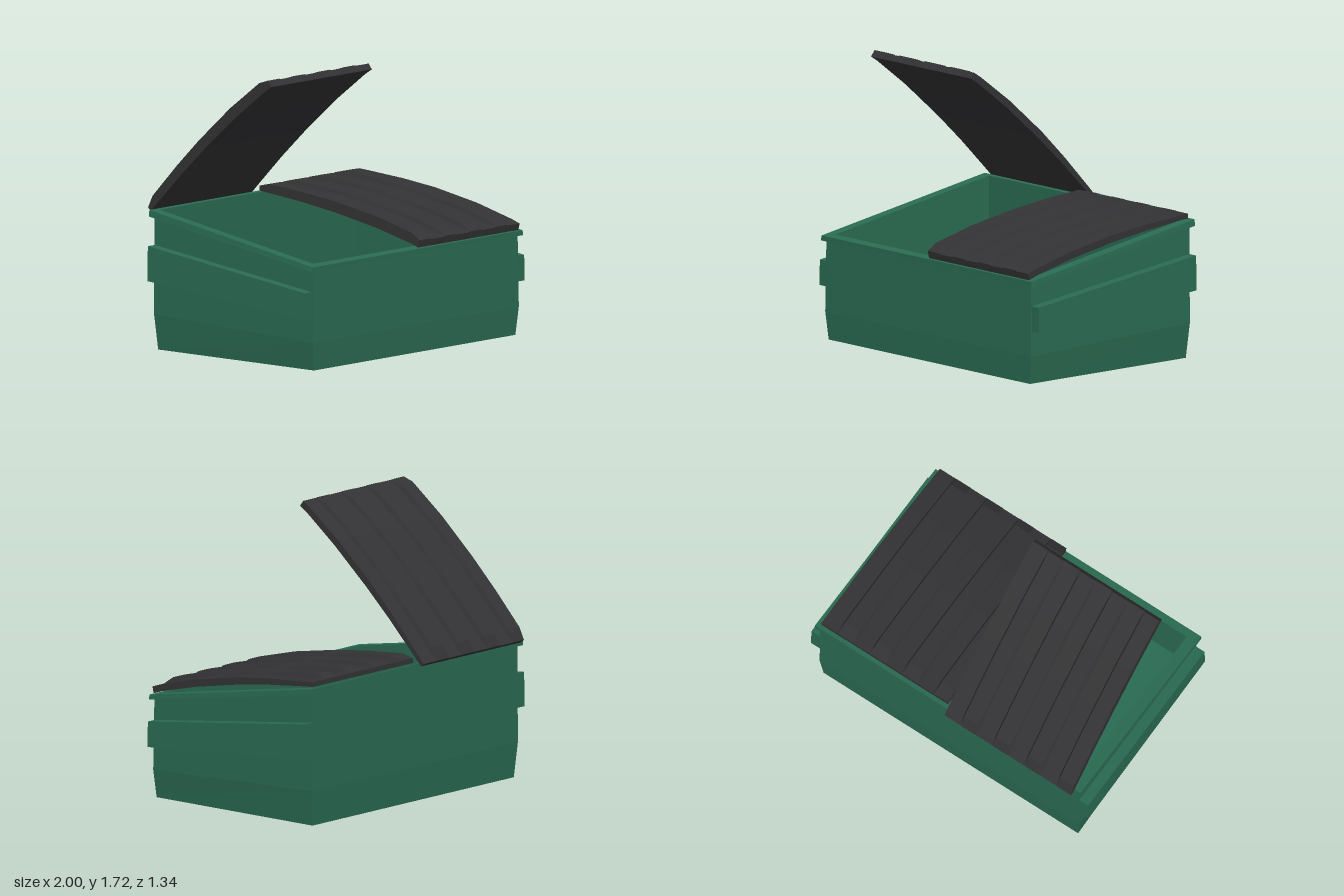
import * as THREE from 'three';

const green = new THREE.MeshStandardMaterial({ color: 0x2a6b52, flatShading: true });
const black = new THREE.MeshStandardMaterial({ color: 0x333335, flatShading: true });

// Joins equal-sized rings of points into a closed, flat-shaded solid.
function loft(rings) {
  const pos = [];
  const quad = (a, b, c, d) => [a, b, c, a, c, d].forEach((p) => pos.push(...p));
  const n = rings[0].length;
  for (let r = 0; r < rings.length - 1; r++) {
    const a = rings[r], b = rings[r + 1];
    for (let i = 0; i < n; i++) {
      const j = (i + 1) % n;
      quad(a[i], a[j], b[j], b[i]);
    }
  }
  const first = rings[0], last = rings[rings.length - 1];
  for (let i = 0; i < n / 2 - 1; i++) {
    quad(first[n - 1 - i], first[n - 2 - i], first[i + 1], first[i]);
    quad(last[i], last[i + 1], last[n - 2 - i], last[n - 1 - i]);
  }
  const geometry = new THREE.BufferGeometry();
  geometry.setAttribute('position', new THREE.Float32BufferAttribute(pos, 3));
  geometry.computeVertexNormals();
  return geometry;
}

// Rectangular ring whose height may differ between back and front.
const ring = (x0, x1, zBack, zFront, yBack, yFront) => [
  [x1, yFront, zFront], [x1, yBack, zBack], [x0, yBack, zBack], [x0, yFront, zFront],
];

function part(name, geometry, material) {
  const mesh = new THREE.Mesh(geometry, material);
  mesh.name = name;
  return mesh;
}

// Lid profiles as [z, y], front to back.
const underside = [[0.66, 0.635], [0.6, 0.655], [0.33, 0.72], [0, 0.78], [-0.25, 0.815], [-0.52, 0.843], [-0.6, 0.85]];
const valley = [[0.67, 0.675], [0.61, 0.695], [0.33, 0.766], [0, 0.825], [-0.25, 0.853], [-0.52, 0.873], [-0.6, 0.878]];
const ridge = [[0.67, 0.68], [0.61, 0.72], [0.33, 0.79], [0, 0.846], [-0.25, 0.876], [-0.52, 0.898], [-0.6, 0.88]];

// Ribbed, gently arched lid starting at x = 0.
function lidGeometry() {
  const section = (x, top) =>
    [...underside, ...[...top].reverse()].map(([z, y]) => [x, y, z]);
  const rings = [];
  const pitch = 0.23;
  for (let i = 0; i < 4; i++) {
    const x = i * pitch;
    rings.push(section(x, ridge), section(x + 0.1, ridge), section(x + 0.112, valley));
    rings.push(section(i < 3 ? x + pitch - 0.012 : 0.91, valley));
  }
  return loft(rings);
}

export function createModel() {
  const model = new THREE.Group();
  model.name = 'dumpster';

  // Tapered foot, walls, overhanging rim and hollow interior
  model.add(part('body', loft([
    ring(-0.915, 0.915, -0.59, 0.645, 0, 0),
    ring(-0.935, 0.935, -0.605, 0.655, 0.215, 0.17),
    ring(-0.93, 0.93, -0.605, 0.65, 0.805, 0.6),
    ring(-0.958, 0.958, -0.625, 0.668, 0.805, 0.6),
    ring(-0.955, 0.955, -0.625, 0.668, 0.845, 0.63),
    ring(-0.887, 0.887, -0.6, 0.615, 0.841, 0.639),
    ring(-0.887, 0.887, -0.6, 0.615, 0.2, 0.2),
  ]), green));

  // Sloping lifting pockets on both sides
  for (const side of [1, -1]) {
    const band = (outer, yBack, yFront) =>
      ring(Math.min(side * 0.9, side * outer), Math.max(side * 0.9, side * outer), -0.602, 0.645, yBack, yFront);
    model.add(part(side > 0 ? 'leftPocket' : 'rightPocket',
      loft([band(1, 0.422, 0.32), band(0.995, 0.633, 0.475)]), green));
  }

  // Closed lid on the left
  const geometry = lidGeometry();
  const closedLid = part('closedLid', geometry, black);
  closedLid.position.x = 0.015;
  model.add(closedLid);

  // Raised lid on the right, swung about its back edge
  const hinge = new THREE.Group();
  hinge.name = 'openLid';
  hinge.position.set(-0.915, 0.832, -0.647);
  hinge.rotation.x = -THREE.MathUtils.degToRad(51.2);
  const openLid = part('openLidPanel', geometry, black);
  openLid.position.set(0, -0.85, 0.6);
  hinge.add(openLid);
  model.add(hinge);

  return model;
}
